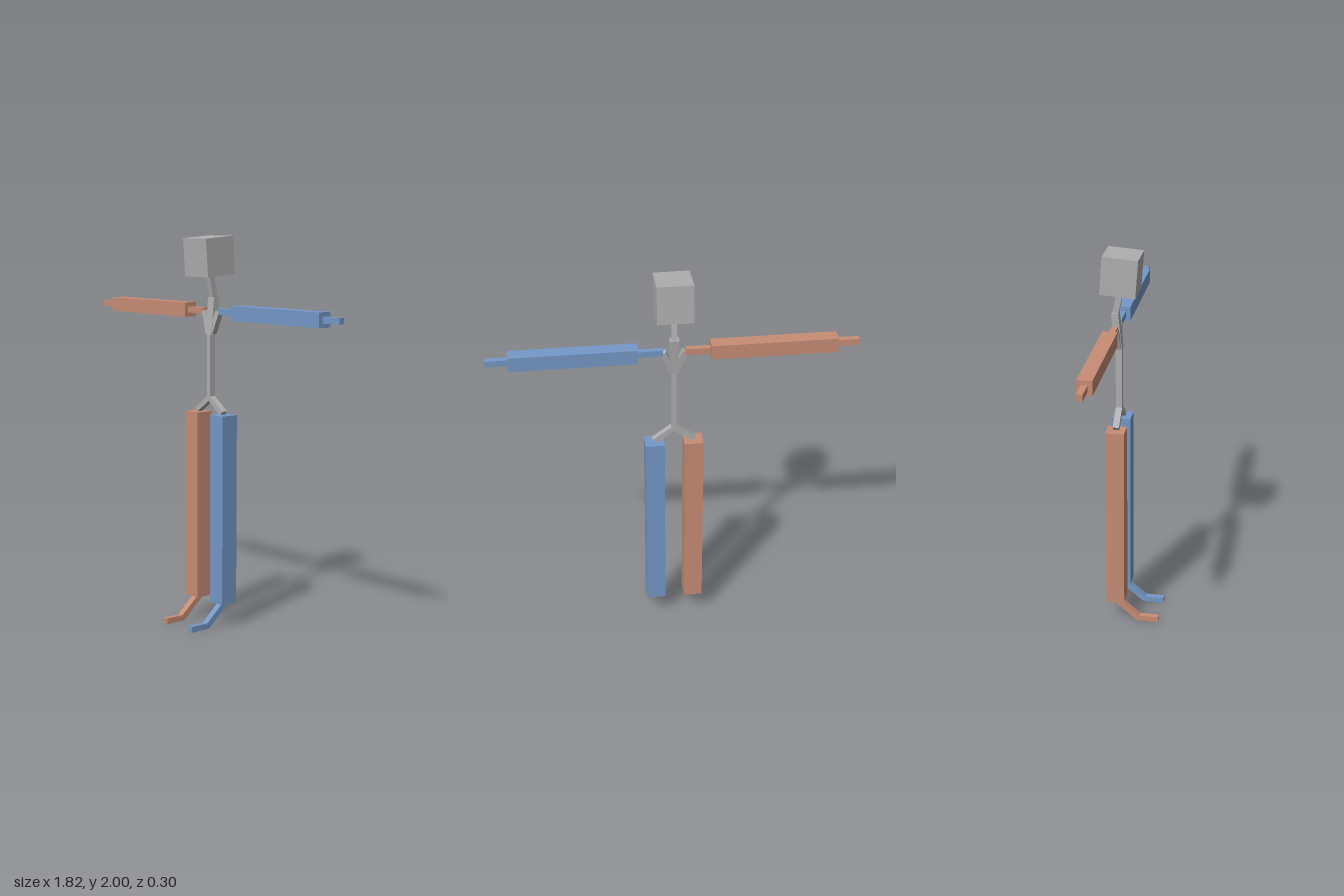
import * as THREE from 'three';

const grey = new THREE.MeshStandardMaterial({ color: 0xb0b0b0 });
grey.name = 'grey';
const blue = new THREE.MeshStandardMaterial({ color: 0x7599c8 });
blue.name = 'blue';
const orange = new THREE.MeshStandardMaterial({ color: 0xc78d75 });
orange.name = 'orange';

// Square bone running from point a to point b; width and depth are its cross-section.
function bone(name, material, a, b, width, depth = width) {
  const start = new THREE.Vector3(...a);
  const end = new THREE.Vector3(...b);
  const along = end.clone().sub(start);
  const mesh = new THREE.Mesh(new THREE.BoxGeometry(width, along.length(), depth), material);
  mesh.name = name;
  mesh.position.copy(start).add(end).multiplyScalar(0.5);
  mesh.quaternion.setFromUnitVectors(new THREE.Vector3(0, 1, 0), along.normalize());
  return mesh;
}

export function createModel() {
  const model = new THREE.Group();
  model.name = 'boneFigure';

  // Trunk and head
  model.add(
    bone('spine', grey, [0, 1.18, -0.07], [0, 1.52, -0.07], 0.025, 0.032),
    bone('chest', grey, [0, 1.5, -0.07], [0, 1.69, -0.088], 0.046, 0.036),
    bone('neck', grey, [0, 1.68, -0.088], [0, 1.82, -0.06], 0.027, 0.03),
    bone('head', grey, [0, 1.802, -0.063], [0, 1.994, -0.049], 0.178, 0.178),
  );

  // Limbs on both sides
  for (const [side, s, color] of [['left', 1, blue], ['right', -1, orange]]) {
    const add = (name, material, a, b, w, d) => model.add(bone(
      side + name, material, [s * a[0], a[1], a[2]], [s * b[0], b[1], b[2]], w, d));

    // Shoulder and arm
    add('Collarbone', grey, [0.012, 1.51, -0.071], [0.053, 1.62, -0.08], 0.028, 0.03);
    add('UpperArm', color, [0.055, 1.62, -0.082], [0.18, 1.62, -0.082], 0.031);
    add('Arm', color, [0.178, 1.62, -0.082], [0.8, 1.62, -0.082], 0.074);
    add('Hand', color, [0.8, 1.62, -0.082], [0.91, 1.62, -0.082], 0.031);

    // Hip, leg and foot
    add('Hip', grey, [0, 1.18, -0.07], [0.1, 1.107, -0.07], 0.026, 0.032);
    add('Leg', color, [0.098, 0.122, -0.07], [0.098, 1.1, -0.07], 0.096);
    add('Foot', color, [0.1, 0.125, -0.075], [0.1, 0.016, 0.05], 0.035, 0.03);
    add('Toe', color, [0.1, 0.018, 0.045], [0.1, 0.018, 0.153], 0.03);
  }
  return model;
}
